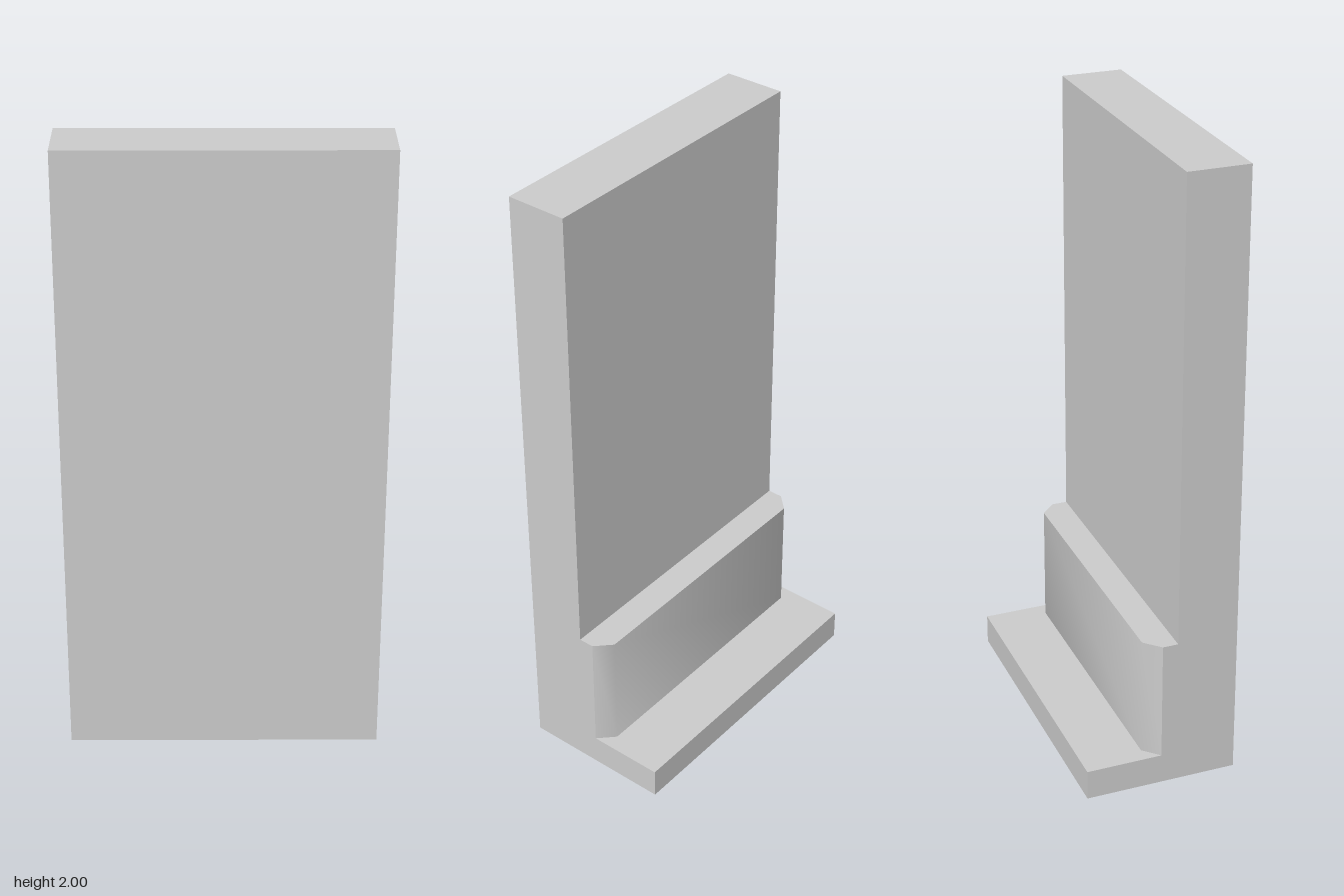
import * as THREE from 'three';
import { toCreasedNormals } from 'three/addons/utils/BufferGeometryUtils.js';

const WIDTH = 0.987;
const HALF = WIDTH / 2;
const DEPTH = WIDTH / 2;
const HALF_DEPTH = DEPTH / 2;
const BASE_TOP = 0.099;
const LEDGE_TOP = 0.494;

function extrude(points, depth) {
  const shape = new THREE.Shape(points.map(([x, y]) => new THREE.Vector2(x, y)));
  return new THREE.ExtrudeGeometry(shape, { depth, bevelEnabled: false });
}

export function createModel() {
  const group = new THREE.Group();
  const material = new THREE.MeshStandardMaterial({ color: 0xcccccc });

  const add = (name, geometry) => {
    const mesh = new THREE.Mesh(geometry, material);
    mesh.name = name;
    group.add(mesh);
  };

  // Wall, ledge step and foot slab as one side profile (-z, y), run along x
  const profile = [
    [-HALF_DEPTH, 0], [HALF_DEPTH, 0], [HALF_DEPTH, BASE_TOP], [0, BASE_TOP],
    [0, LEDGE_TOP], [-0.05, LEDGE_TOP], [-0.05, 2], [-HALF_DEPTH, 2],
  ];
  const wall = extrude(profile, WIDTH);
  wall.translate(0, 0, -HALF);
  wall.rotateY(Math.PI / 2);
  add('wallWithFoot', wall);

  // Chamfered skirting behind the wall, plan (x, -z), softly shaded at its corners
  const cut = 0.049;
  const plan = [[-HALF, 0], [HALF, 0], [HALF - cut, cut], [-HALF + cut, cut]];
  const skirting = extrude(plan, LEDGE_TOP - BASE_TOP);
  skirting.rotateX(-Math.PI / 2);
  skirting.translate(0, BASE_TOP, 0);
  add('skirting', toCreasedNormals(skirting, THREE.MathUtils.degToRad(50)));

  return group;
}
